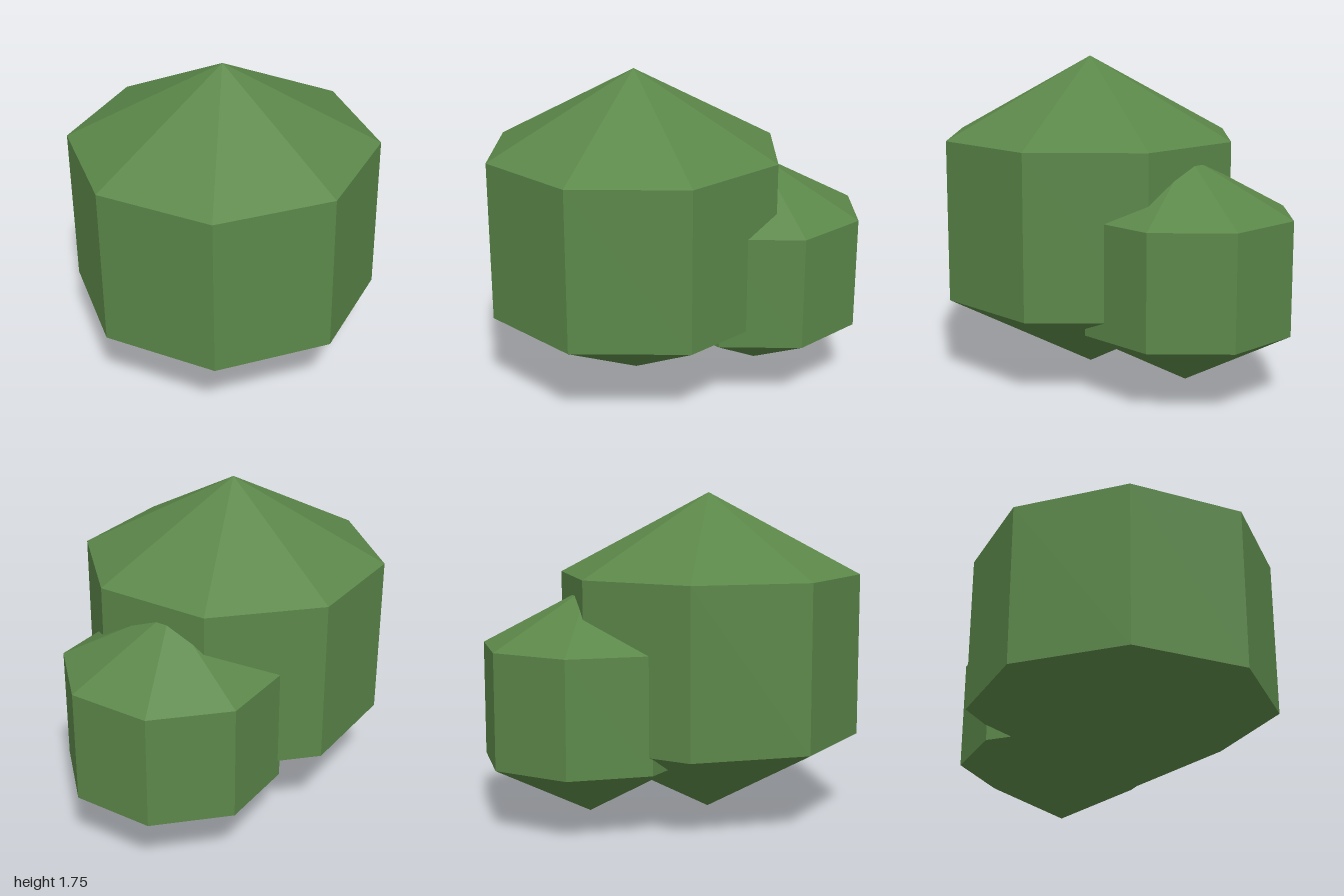
import * as THREE from 'three';

export function createModel() {
  const group = new THREE.Group();
  group.name = 'bush';
  const leafGreen = new THREE.MeshStandardMaterial({ color: 0x5b8749, flatShading: true });
  leafGreen.name = 'leaf green';

  // Faceted foliage clump: eight sides, three bands, slightly squashed
  function addClump(name, width, height, x, y, z) {
    const mesh = new THREE.Mesh(new THREE.SphereGeometry(1, 8, 3), leafGreen);
    mesh.name = name;
    mesh.scale.set(width, height, width);
    mesh.position.set(x, y, z);
    group.add(mesh);
  }

  addClump('largeFoliage', 0.947, 0.873, -0.18, 0.873, 0.032);
  addClump('smallFoliage', 0.663, 0.608, 0.425, 0.647, -0.284);
  return group;
}
